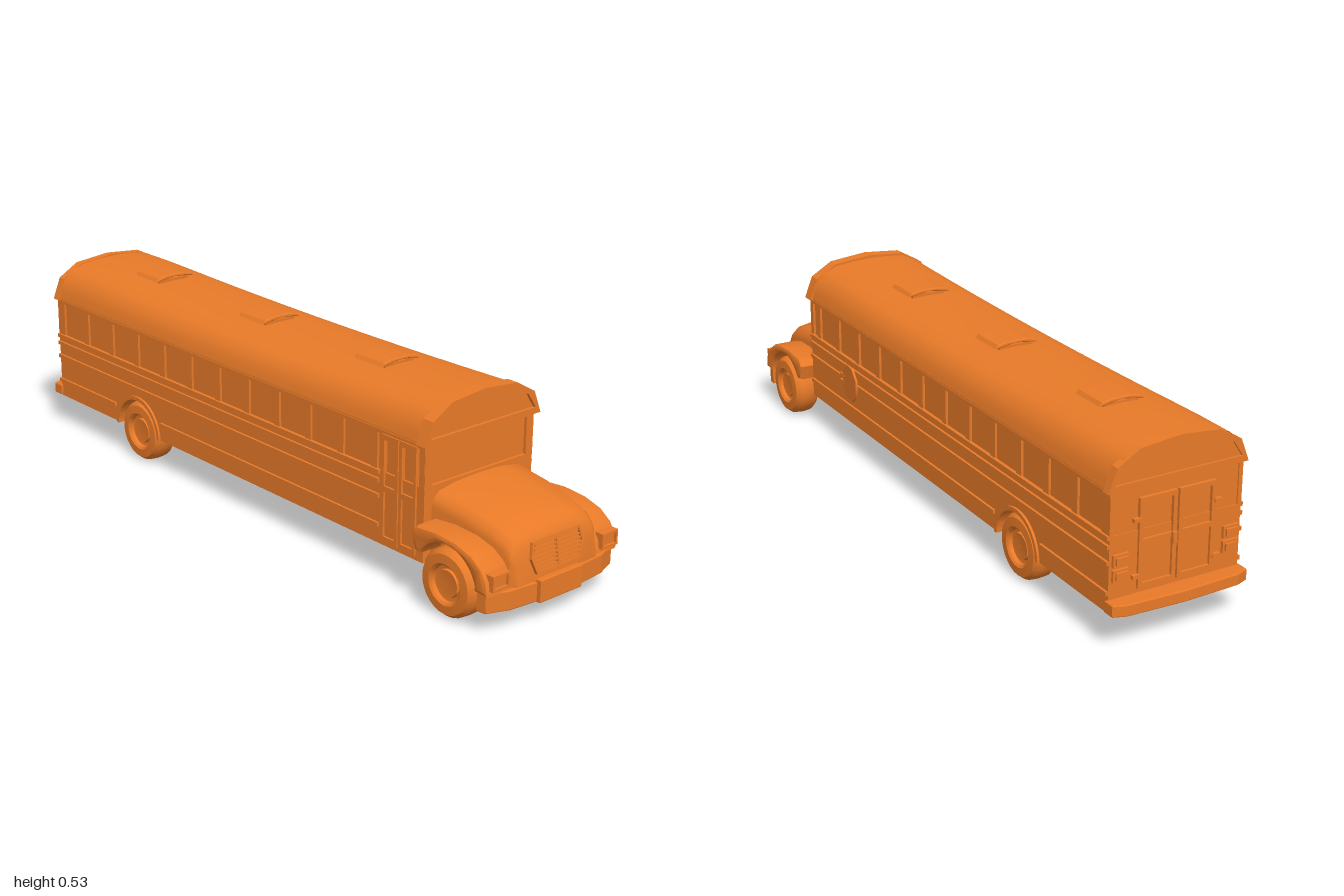
import * as THREE from 'three';
import { toCreasedNormals } from 'three/addons/utils/BufferGeometryUtils.js';

const mat = new THREE.MeshStandardMaterial({ color: 0xe87a28, side: THREE.DoubleSide });

export function createModel() {
  const bus = new THREE.Group();
  bus.name = 'bus';

  const add = (name, geo, x = 0, y = 0, z = 0) => {
    const m = new THREE.Mesh(geo, mat);
    m.name = name;
    m.position.set(x, y, z);
    bus.add(m);
    return m;
  };
  // box from centre and size
  const box = (name, x, y, z, w, h, d) => add(name, new THREE.BoxGeometry(w, h, d), x, y, z);
  const poly = (pts) => new THREE.Shape(pts.map((p) => new THREE.Vector2(...p)));
  const rect = (a0, b0, a1, b1) => [[a0, b0], [a1, b0], [a1, b1], [a0, b1]];
  const mirrorPts = (half) => [...half, ...half.slice().reverse().filter((p) => p[0] !== 0).map(([x, ...r]) => [-x, ...r])];
  const extrude = (shape, depth, bevel = 0) =>
    new THREE.ExtrudeGeometry(shape, {
      depth: depth - 2 * bevel, bevelEnabled: bevel > 0, bevelThickness: bevel,
      bevelSize: bevel, bevelOffset: -bevel, bevelSegments: 2, curveSegments: 20,
    }).translate(0, 0, bevel - depth / 2);
  // shape drawn in (z, y), extruded across x
  const sideExtrude = (shape, width, bevel) => toCreasedNormals(extrude(shape, width, bevel).rotateY(-Math.PI / 2), 0.6);
  const frame = (outer, holes) => {
    const s = poly(outer);
    holes.forEach((h) => s.holes.push(new THREE.Path(h.map((p) => new THREE.Vector2(...p)))));
    return s;
  };
  // skin through sections of equal point counts, optionally capping the last one
  const loft = (sections, cap) => {
    const n = sections[0].length, idx = [];
    for (let s = 0; s < sections.length - 1; s++)
      for (let i = 0; i < n - 1; i++) {
        const a = s * n + i, b = a + n;
        idx.push(a, b, a + 1, b, b + 1, a + 1);
      }
    const o = (sections.length - 1) * n;
    if (cap)
      for (let i = 0; i < Math.floor(n / 2); i++) {
        const j = n - 1 - i;
        idx.push(o + i, o + j, o + i + 1);
        if (j - 1 > i + 1) idx.push(o + j, o + j - 1, o + i + 1);
      }
    const g = new THREE.BufferGeometry();
    g.setAttribute('position', new THREE.Float32BufferAttribute(sections.flat(2), 3));
    g.setIndex(idx);
    return toCreasedNormals(g, 0.75);
  };

  // Lower body with the rear wheel arch cut through
  const lower = new THREE.Shape();
  lower.moveTo(-0.95, 0.097);
  lower.lineTo(-0.632, 0.097);
  lower.absarc(-0.53, 0.097, 0.098, Math.PI, 0, true);
  lower.lineTo(0.705, 0.097);
  lower.lineTo(0.705, 0.3);
  lower.lineTo(-0.95, 0.3);
  add('lowerBody', sideExtrude(lower, 0.386));
  box('windowBand', 0, 0.358, -0.125, 0.374, 0.118, 1.645);

  // Window posts, sills and rub rails
  for (const s of [1, -1]) {
    for (let k = s < 0 ? 1 : 0; k < 13; k++)
      box('windowPost', s * 0.188, 0.356, 0.65 - 0.1315 * k, 0.012, 0.114, 0.024);
    box('frontPost', s * 0.188, 0.356, 0.696, 0.012, 0.114, 0.018);
    box('rearPost', s * 0.188, 0.356, -0.944, 0.012, 0.114, 0.014);
    box('windowHeader', s * 0.189, 0.409, -0.125, 0.012, 0.012, 1.65);
    const front = s > 0 ? 0.7 : 0.54;
    for (const y of [0.297, 0.273, 0.23])
      box('rubRail', s * 0.195, y, (front - 0.95) / 2, 0.01, 0.011, front + 0.95);
    for (const [z0, z1] of [[-0.95, -0.645], [-0.415, front]])
      box('skirtRail', s * 0.195, 0.15, (z0 + z1) / 2, 0.01, 0.011, z1 - z0);
    // rear wheel arch trim
    const arch = new THREE.Shape();
    arch.absarc(0, 0, 0.108, 0, Math.PI, false);
    arch.absarc(0, 0, 0.097, Math.PI, 0, true);
    add('rearArchTrim', sideExtrude(arch, 0.014), s * 0.193, 0.097, -0.53);
  }

  // Folding entrance door on the right-hand side
  for (const z of [0.582, 0.648]) {
    const leaf = frame(rect(z - 0.031, 0.11, z + 0.031, 0.405),
      [rect(z - 0.021, 0.125, z + 0.021, 0.25), rect(z - 0.021, 0.265, z + 0.021, 0.39)]);
    add('entranceDoor', sideExtrude(leaf, 0.016), -0.191);
  }

  // Roof with a slight sag along its length
  const sag = (z) => 0.016 * Math.min(1, (z / 0.8) ** 2);
  const roofHalf = [[0.197, 0.413], [0.19, 0.437], [0.176, 0.467], [0.148, 0.487], [0.112, 0.499], [0.055, 0.504], [0, 0.506]];
  const roof = [];
  for (let k = 0; k <= 14; k++) {
    const z = -0.95 + (1.655 * k) / 14;
    roof.push(mirrorPts(roofHalf).map(([x, y]) => [x, y + sag(z) * (y - 0.413) / 0.093, z]));
  }
  add('roof', loft(roof));
  box('roofUnderside', 0, 0.416, -0.122, 0.392, 0.006, 1.655);

  // Flared roof end caps with recessed panels
  const capHalf = [[0.205, 0.415], [0.18, 0.478], [0.115, 0.516], [0, 0.527]];
  const panelHalf = [[0.186, 0.432], [0.158, 0.474], [0.105, 0.499], [0, 0.508]];
  for (const [z, d] of [[0.7, 0.036], [-0.945, 0.024]]) {
    add('roofCapRim', extrude(frame(mirrorPts(capHalf), [mirrorPts(panelHalf)]), d), 0, 0, z);
    add('roofCapPanel', extrude(poly(mirrorPts(panelHalf)), d * 0.5), 0, 0, z);
  }

  // Roof hatches: flange and domed lid
  for (const z of [0.35, -0.145, -0.65]) {
    const y = 0.506 + sag(z);
    box('hatchFlange', 0, y + 0.002, z, 0.105, 0.01, 0.1);
    const lid = poly([[-0.066, 0.002], [-0.058, 0.012], [-0.03, 0.018], [0.03, 0.018], [0.058, 0.012], [0.066, 0.002], [0, 0.01]]);
    add('hatchLid', extrude(lid, 0.112, 0.004), 0, y + 0.002, z);
  }

  // Windshield surround
  add('windshieldFrame', extrude(frame(rect(-0.193, 0.295, 0.193, 0.415), [rect(-0.168, 0.303, 0.168, 0.407)]), 0.012), 0, 0, 0.7);

  // Hood, sloping to a leaning nose
  const hoodAt = (z, w, h, lean = 0) =>
    mirrorPts([[w, 0.115], [w, h - 0.05], [w - 0.006, h - 0.03], [w - 0.024, h - 0.014], [w * 0.5, h - 0.004], [0, h]])
      .map(([x, y]) => [x, y, z - lean * (y - 0.115)]);
  add('hood', loft([hoodAt(0.7, 0.166, 0.297), hoodAt(0.81, 0.163, 0.284), hoodAt(0.9, 0.158, 0.265),
    hoodAt(0.94, 0.155, 0.252), hoodAt(0.973, 0.152, 0.235, 0.12), hoodAt(0.985, 0.142, 0.22, 0.16)], true));

  // Grille: surround, slats and centre bar on the leaning nose
  const grille = new THREE.Group();
  grille.name = 'grille';
  grille.position.set(0, 0.175, 0.978);
  grille.rotation.x = -0.16;
  bus.add(grille);
  const outline = [[0.078, -0.042], [0.094, 0], [0.086, 0.041]];
  const inner = outline.map(([x, y]) => [x - 0.006, y * 0.88]);
  const gBar = (name, geo, y = 0) => {
    const m = new THREE.Mesh(geo, mat);
    m.name = name;
    m.position.y = y;
    grille.add(m);
  };
  gBar('grilleSurround', extrude(frame(mirrorPts(outline), [mirrorPts(inner)]), 0.012));
  for (let k = -3; k <= 3; k++)
    gBar('grilleSlat', new THREE.BoxGeometry(0.176 - Math.abs(k) * 0.007, 0.005, 0.012), k * 0.0105);
  gBar('grilleCentre', new THREE.BoxGeometry(0.006, 0.078, 0.014));

  // Front fenders and headlights
  for (const s of [1, -1]) {
    const f = new THREE.Shape();
    f.moveTo(0.715, 0.15);
    [[0.703, 0.195], [0.72, 0.218], [0.79, 0.224], [0.86, 0.219], [0.915, 0.203], [0.95, 0.178], [0.968, 0.15], [0.975, 0.112], [0.932, 0.112]]
      .forEach((p) => f.lineTo(...p));
    f.absarc(0.827, 0.095, 0.105, 0.16, 2.6, false);
    add('frontFender', sideExtrude(f, 0.092, 0.012), s * 0.191);
    add('headlightFrame', extrude(frame(rect(-0.029, -0.021, 0.029, 0.021), [rect(-0.023, -0.015, 0.023, 0.015)]), 0.03), s * 0.196, 0.147, 0.968);
    box('headlight', s * 0.196, 0.147, 0.966, 0.044, 0.028, 0.022);
  }

  // Bumpers, drawn in plan (x, z)
  const plan = (name, half, y0, y1) =>
    add(name, extrude(poly(mirrorPts(half)), y1 - y0, 0.003).rotateX(Math.PI / 2), 0, (y0 + y1) / 2, 0);
  plan('frontBumper', [[0.215, 0.935], [0.23, 0.935], [0.227, 0.962], [0.165, 0.985], [0.08, 0.993], [0.08, 0.975], [0.16, 0.967]], 0.062, 0.116);
  plan('frontBumperCentre', [[0.075, 0.97], [0.075, 1.0]], 0.058, 0.12);
  plan('rearBumper', [[0.2, -0.945], [0.2, -0.98], [0.165, -0.993], [0, -1.0]], 0.1, 0.132);

  // Rear door pair, hinges and lamps
  for (const s of [1, -1]) {
    const r = (x0, y0, x1, y1) => rect(s * x0, y0, s * x1, y1);
    add('rearDoor', extrude(frame(r(0.003, 0.145, 0.112, 0.385),
      [r(0.014, 0.275, 0.1, 0.372), r(0.014, 0.158, 0.1, 0.262)]), 0.014), 0, 0, -0.95);
    for (const y of [0.18, 0.33]) box('doorHinge', s * 0.118, y, -0.955, 0.022, 0.01, 0.012);
    for (const y of [0.195, 0.235]) {
      box('tailLampHousing', s * 0.162, y, -0.952, 0.046, 0.032, 0.012);
      box('tailLamp', s * 0.162, y, -0.958, 0.034, 0.02, 0.012);
    }
  }
  box('doorHandle', 0.012, 0.262, -0.96, 0.012, 0.03, 0.012);

  // Wheels, axles and hubs
  const tyre = [[0.001, -0.03], [0.05, -0.03], [0.056, -0.037], [0.08, -0.037], [0.09, -0.024], [0.092, 0],
    [0.09, 0.024], [0.08, 0.037], [0.056, 0.039], [0.05, 0.034], [0.048, 0.024], [0.038, 0.022], [0.036, 0.03], [0.001, 0.03]]
    .map((p) => new THREE.Vector2(...p));
  const wheelGeo = toCreasedNormals(new THREE.LatheGeometry(tyre, 28), 0.6);
  for (const [z, x] of [[0.827, 0.197], [-0.53, 0.156]]) {
    for (const s of [1, -1]) {
      add('wheel', wheelGeo, s * x, 0.095, z).rotation.z = (-s * Math.PI) / 2;
      add('hub', new THREE.CylinderGeometry(0.024, 0.024, 0.03, 16), s * (x - 0.045), 0.095, z).rotation.z = Math.PI / 2;
    }
    add('axle', new THREE.CylinderGeometry(0.011, 0.011, x * 2, 14), 0, 0.095, z).rotation.z = Math.PI / 2;
  }
  add('differential', new THREE.SphereGeometry(0.026, 16, 12), 0, 0.095, -0.53);
  for (const s of [1, -1]) box('chassisRail', s * 0.085, 0.122, 0.83, 0.02, 0.025, 0.27);

  // Folding stop sign on the left side
  add('stopSign', new THREE.CylinderGeometry(0.056, 0.056, 0.007, 8).rotateY(Math.PI / 8).rotateZ(Math.PI / 2), 0.212, 0.24, 0.402).rotation.y = -0.08;
  for (const y of [0.23, 0.25]) box('signArm', 0.204, y, 0.455, 0.018, 0.007, 0.03);

  return bus;
}
